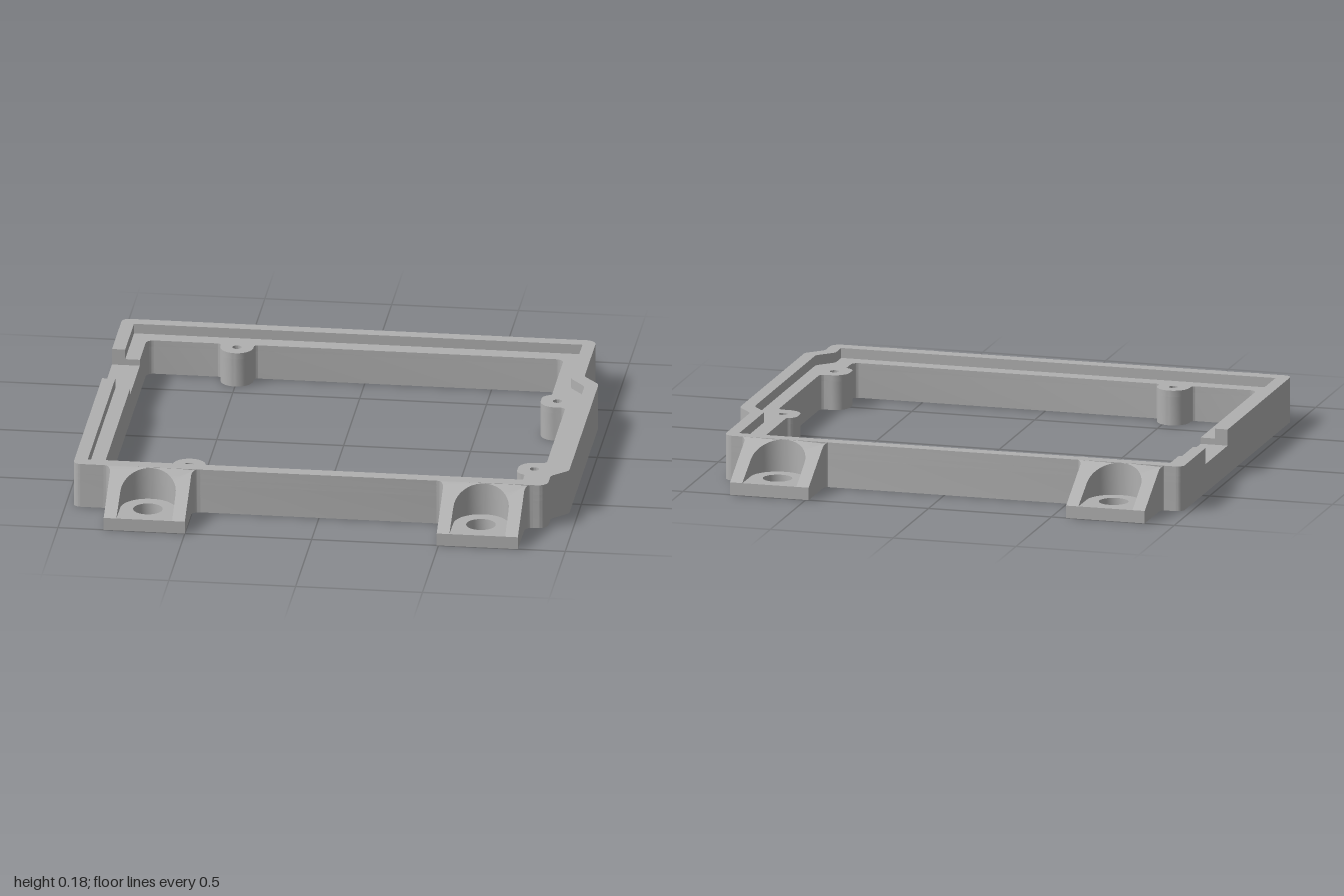
import * as THREE from 'three';
import { toCreasedNormals } from 'three/addons/utils/BufferGeometryUtils.js';

const NOTCH = 0.115, LEDGE = 0.14, TOP = 0.18;

// Plan polygon [x, z, cornerRadius] -> points with circular corner fillets
function rounded(corners) {
  const pts = [], n = corners.length;
  corners.forEach(([x, z, r = 0], i) => {
    const p = new THREE.Vector2(x, z);
    if (!r) { pts.push(p); return; }
    const prev = corners[(i + n - 1) % n], next = corners[(i + 1) % n];
    const a = new THREE.Vector2(prev[0], prev[1]).sub(p).normalize();
    const b = new THREE.Vector2(next[0], next[1]).sub(p).normalize();
    const half = Math.acos(a.dot(b)) / 2, t = r / Math.tan(half), w = Math.sin(half);
    const p0 = p.clone().addScaledVector(a, t), p2 = p.clone().addScaledVector(b, t);
    for (let k = 0; k <= 10; k++) {
      const s = k / 10, c0 = (1 - s) ** 2, c1 = 2 * w * s * (1 - s), c2 = s * s, d = c0 + c1 + c2;
      pts.push(new THREE.Vector2((c0 * p0.x + c1 * p.x + c2 * p2.x) / d, (c0 * p0.y + c1 * p.y + c2 * p2.y) / d));
    }
  });
  return pts;
}

const circle = (x, z, r) => new THREE.Path().absarc(x, z, r, 0, Math.PI * 2);

// Extrude a plan shape between two heights; topRule can reshape its upper face
function plate(name, points, holes, y0, y1, material, topRule) {
  const shape = new THREE.Shape(points);
  shape.holes.push(...holes);
  const g = new THREE.ExtrudeGeometry(shape, { depth: y1 - y0, bevelEnabled: false, curveSegments: 16 });
  g.rotateX(Math.PI / 2).translate(0, y1, 0);
  if (topRule) {
    const p = g.attributes.position;
    for (let i = 0; i < p.count; i++) if (p.getY(i) > (y0 + y1) / 2) p.setY(i, topRule(p.getZ(i)));
    g.computeVertexNormals();
  }
  const mesh = new THREE.Mesh(toCreasedNormals(g, 0.5), material);
  mesh.name = name;
  return mesh;
}

export function createModel() {
  const model = new THREE.Group();
  model.name = 'mountingFrame';
  const grey = new THREE.MeshStandardMaterial({ color: 0xb0b0b0 });
  grey.name = 'grey';

  // Every contour starts and ends at the two sides of the notch in the -x wall
  const outer = rounded([
    [-0.97, -0.45], [-0.97, -0.775, 0.03], [0.9, -0.775, 0.04], [0.9, -0.395, 0.03], [0.965, -0.32, 0.05],
    [0.965, 0.6, 0.03], [0.9, 0.665, 0.03], [0.9, 0.77, 0.04], [-0.97, 0.77, 0.03], [-0.97, -0.14],
  ]);
  const step = rounded([
    [-0.918, -0.45], [-0.918, -0.725], [0.85, -0.725], [0.85, -0.365, 0.03], [0.913, -0.29, 0.05],
    [0.913, 0.575, 0.03], [0.85, 0.64, 0.03], [0.85, 0.717], [-0.918, 0.717], [-0.918, -0.14],
  ]);
  // Opening, including the four rounded screw bosses
  const inner = rounded([
    [-0.86, -0.45], [-0.86, -0.66, 0.03],
    [-0.565, -0.66, 0.015], [-0.565, -0.565, 0.065], [-0.435, -0.565, 0.065], [-0.435, -0.66, 0.015],
    [0.785, -0.66, 0.03],
    [0.785, -0.285, 0.008], [0.75, -0.27, 0.04], [0.75, -0.155, 0.06], [0.855, -0.155, 0.02],
    [0.855, 0.435, 0.02], [0.75, 0.435, 0.06], [0.75, 0.55, 0.04], [0.785, 0.565, 0.008],
    [0.785, 0.655, 0.03],
    [-0.465, 0.655, 0.015], [-0.465, 0.56, 0.065], [-0.595, 0.56, 0.065], [-0.595, 0.655, 0.015],
    [-0.86, 0.655, 0.03], [-0.86, -0.14],
  ]);
  const screwHoles = () => [[-0.5, -0.63], [-0.53, 0.622], [0.815, -0.222], [0.815, 0.5]]
    .map(([x, z]) => circle(x, z, 0.018));

  // Frame in three layers: closed base, ledge and raised rim, the last two open at the notch
  model.add(
    plate('frameBase', outer, [new THREE.Path(inner), ...screwHoles()], 0, NOTCH, grey),
    plate('frameLedge', [...outer, ...[...inner].reverse()], screwHoles(), NOTCH, LEDGE, grey),
    plate('frameRim', [...outer, ...[...step].reverse()], [], LEDGE, TOP, grey),
  );

  // Sloped mounting lugs, each with a U-shaped pocket and a bolt hole
  const pocket = [[-0.11, 0.23], [-0.108, 0.006, 0.107], [0.108, 0.006, 0.107], [0.11, 0.23]];
  const body = [
    [-0.195, -0.01], [-0.195, 0], [-0.16, 0, 0.03], [-0.16, 0.23], ...pocket,
    [0.16, 0.23], [0.16, 0, 0.03], [0.195, 0], [0.195, -0.01],
  ];
  const slope = (d) => Math.min(TOP, TOP - (d - 0.005) * 0.13 / 0.225);
  for (const [name, x, side] of [
    ['frontRightLug', -0.66, 1], ['frontLeftLug', 0.653, 1],
    ['backRightLug', -0.72, -1], ['backLeftLug', 0.648, -1],
  ]) {
    const lug = new THREE.Group();
    lug.name = name;
    lug.add(
      plate('lugBody', rounded(body), [], 0, TOP, grey, slope),
      plate('lugFloor', rounded(pocket), [circle(0, 0.114, 0.058)], 0, 0.05, grey),
    );
    lug.position.set(x, 0, 0.77 * side);
    if (side < 0) lug.rotation.y = Math.PI;
    model.add(lug);
  }
  return model;
}
